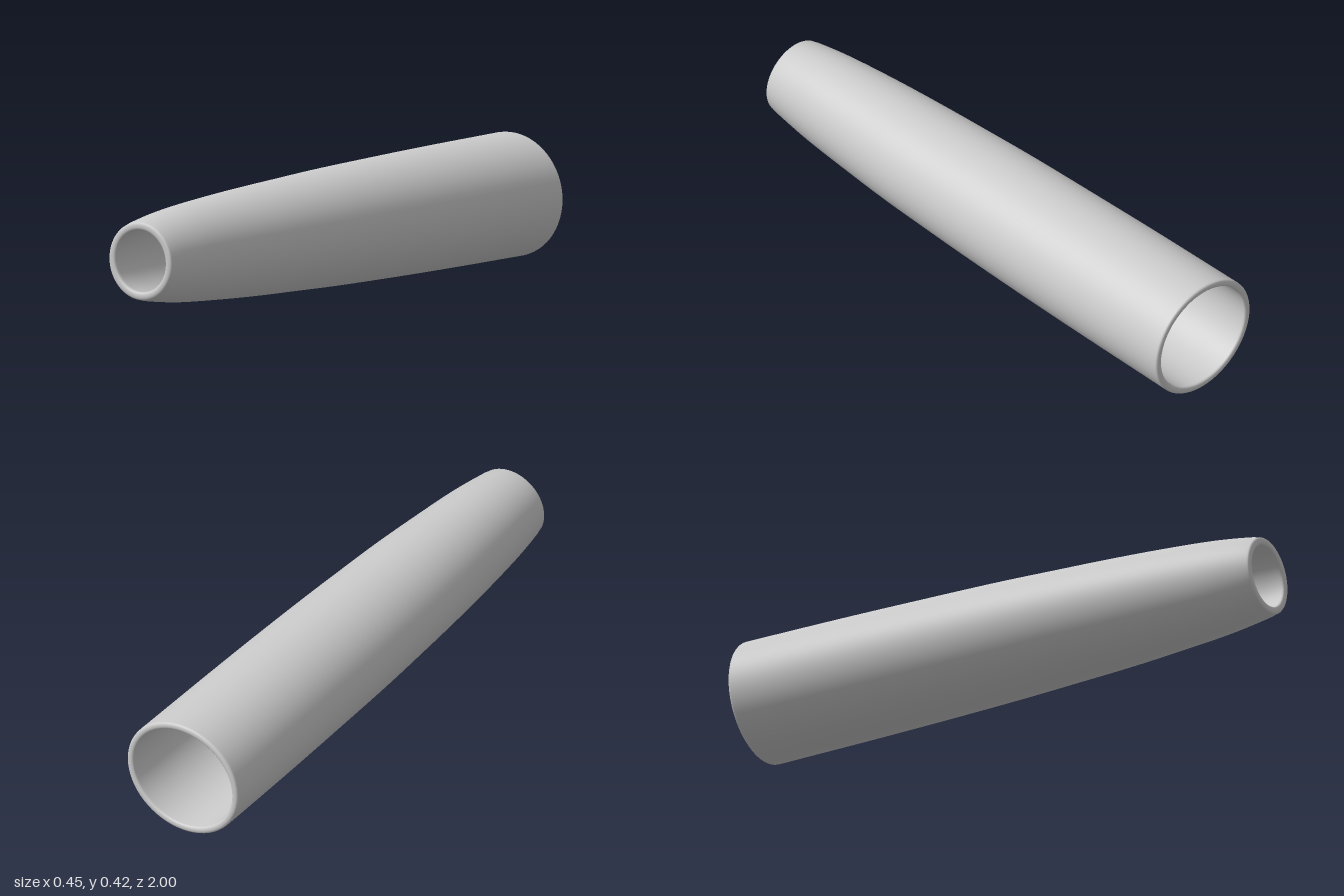
import * as THREE from 'three';

const CENTRE_Y = 0.212;
const SIDES = 64;

// Outer stations along the length: z, centre x, half width, half height
const stations = [
  [1.0, -0.030, 0.135, 0.134],
  [0.9, -0.029, 0.148, 0.150],
  [0.8, -0.027, 0.159, 0.162],
  [0.6, -0.024, 0.176, 0.176],
  [0.4, -0.020, 0.190, 0.186],
  [0.2, -0.0175, 0.1995, 0.193],
  [0.0, -0.015, 0.207, 0.200],
  [-0.3, -0.010, 0.214, 0.206],
  [-0.6, -0.006, 0.219, 0.210],
  [-1.0, 0.000, 0.223, 0.212],
];
const curveOf = (k) => new THREE.CatmullRomCurve3(stations.map((s) => new THREE.Vector3(s[k], 0, s[0])));
const curves = [1, 2, 3].map(curveOf);

// Smooth outer section at parameter t, shrunk inwards by the inset
function section(t, inset = 0, z = null) {
  const [cx, rx, ry] = curves.map((c) => c.getPoint(t));
  return { z: z ?? cx.z, cx: cx.x, rx: rx.x - inset, ry: ry.x - inset };
}

// Closed loft through elliptical sections: outer wall, back rim, inner wall, front rim
function loft(sections) {
  const pos = [], idx = [], n = sections.length;
  for (const s of sections) {
    for (let i = 0; i < SIDES; i++) {
      const a = (i / SIDES) * Math.PI * 2;
      pos.push(s.cx + Math.cos(a) * s.rx, CENTRE_Y + Math.sin(a) * s.ry, s.z);
    }
  }
  for (let j = 0; j < n; j++) {
    for (let i = 0; i < SIDES; i++) {
      const k = (i + 1) % SIDES, m = (j + 1) % n;
      const a = j * SIDES + i, b = j * SIDES + k, c = m * SIDES + k, d = m * SIDES + i;
      idx.push(a, d, b, b, d, c);
    }
  }
  const g = new THREE.BufferGeometry();
  g.setAttribute('position', new THREE.Float32BufferAttribute(pos, 3));
  g.setIndex(idx);
  g.computeVertexNormals();
  return g;
}

// Half-round lip across the wall thickness; end is +1 at the front, -1 at the back
function rim(end, wall, depth) {
  const out = [], steps = 10;
  for (let i = 0; i <= steps; i++) {
    const a = (i / steps) * Math.PI;
    const inset = (wall / 2) * (1 - Math.cos(a));
    const z = end * (1 - depth * (1 - Math.pow(Math.sin(a), 0.6)));
    out.push(section(end > 0 ? 0 : 1, inset, z));
  }
  return out;
}

export function createModel() {
  const group = new THREE.Group();
  const frontWall = 0.028, backWall = 0.025, steps = 32;
  const outer = [], inner = [];
  for (let i = 1; i < steps; i++) {
    const t = i / steps;
    outer.push(section(t));
    inner.unshift(section(t, THREE.MathUtils.lerp(frontWall, backWall, t)));
  }
  const frontRim = rim(1, frontWall, 0.012).reverse();
  const backRim = rim(-1, backWall, 0.012);
  const sleeve = new THREE.Mesh(
    loft([...frontRim, ...outer, ...backRim, ...inner]),
    new THREE.MeshStandardMaterial({ color: 0xcccccc })
  );
  sleeve.name = 'taperedSleeve';
  group.add(sleeve);
  return group;
}
